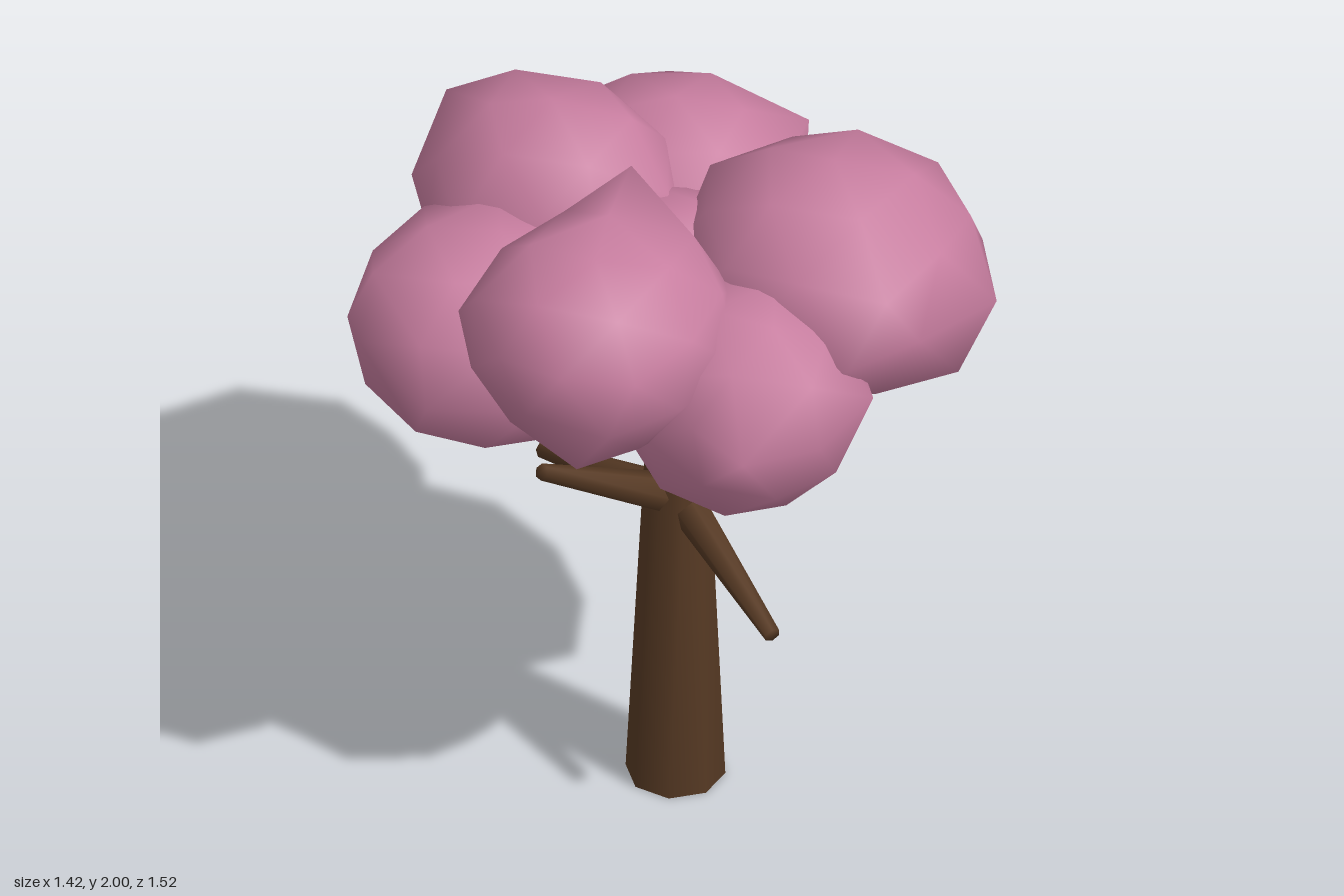
import * as THREE from 'three';
import { mergeVertices } from 'three/addons/utils/BufferGeometryUtils.js';

const blossom = new THREE.MeshStandardMaterial({ color: 0xc77d9f });
blossom.name = 'blossomPink';
const bark = new THREE.MeshStandardMaterial({ color: 0x573a24 });
bark.name = 'barkBrown';

// Welds a geometry so that its shading runs smoothly over every edge
function weld(geometry) {
  geometry.deleteAttribute('normal');
  geometry.deleteAttribute('uv');
  const g = mergeVertices(geometry, 1e-4);
  g.computeVertexNormals();
  return g;
}

// Low icosphere with a corner at its pole, turned, fitted to a box, then made
// irregular: each listed corner pulls the nearest vertex (null leaves a coordinate free)
function clump(name, min, max, turn, corners) {
  const g = weld(new THREE.IcosahedronGeometry(1, 1));
  g.rotateZ(Math.atan(2 / (1 + Math.sqrt(5))));
  g.applyMatrix4(new THREE.Matrix4().makeRotationFromEuler(new THREE.Euler(...turn)));
  g.center();
  const size = g.boundingBox.getSize(new THREE.Vector3()).toArray();
  g.scale(...size.map((s, i) => (max[i] - min[i]) / s));
  g.translate(...min.map((v, i) => (v + max[i]) / 2));

  const p = g.attributes.position;
  for (const corner of corners) {
    let best = 0, bestDistance = Infinity;
    for (let i = 0; i < p.count; i++) {
      const d = Math.hypot(...corner.map((c, k) => (c === null ? 0 : c - p.getComponent(i, k))));
      if (d < bestDistance) [best, bestDistance] = [i, d];
    }
    corner.forEach((c, k) => { if (c !== null) p.setComponent(best, k, c); });
  }
  g.computeVertexNormals();
  const mesh = new THREE.Mesh(g, blossom);
  mesh.name = name;
  return mesh;
}

// Tapered limb between two points
function limb(name, from, to, r0, r1, sides) {
  const a = new THREE.Vector3(...from), b = new THREE.Vector3(...to);
  const dir = b.clone().sub(a);
  const mesh = new THREE.Mesh(weld(new THREE.CylinderGeometry(r1, r0, dir.length(), sides)), bark);
  mesh.position.copy(a).add(b).multiplyScalar(0.5);
  mesh.quaternion.setFromUnitVectors(new THREE.Vector3(0, 1, 0), dir.normalize());
  mesh.name = name;
  return mesh;
}

export function createModel() {
  const tree = new THREE.Group();
  tree.name = 'blossomTree';

  // Trunk and its three bare branches
  tree.add(
    limb('trunk', [0.067, 0, 0.025], [0.069, 1.4, 0.03], 0.128, 0.064, 8),
    limb('rightBranch', [0.065, 0.88, 0.03], [-0.365, 1.145, 0.03], 0.055, 0.022, 6),
    limb('frontBranch', [0.075, 0.875, 0.03], [0.0, 0.752, 0.52], 0.052, 0.022, 6),
    limb('backBranch', [0.065, 0.875, 0.02], [0.01, 0.752, -0.46], 0.052, 0.022, 6),
  );

  // Foliage clumps
  const q = Math.PI / 2, _ = null;
  tree.add(
    clump('frontLeftClump', [-0.03, 1.33, -0.05], [0.71, 2.0, 0.72], [0, 0, 0], [
      [0.71, 1.66, 0.47], [0.71, 1.66, 0.21], [0.58, 1.66, 0.7], [0.32, 1.66, 0.72], [0.1, 1.66, 0.71],
      [0.56, 1.66, 0.0], [0.36, 1.66, -0.05], [0.1, 1.66, 0.0],
      [0.22, 1.82, 0.71], [0.45, 1.5, 0.71], [0.22, 1.82, -0.03], [0.45, 1.5, -0.03]]),
    clump('frontRightClump', [-0.66, 1.4, -0.11], [0.03, 1.98, 0.55], [0.2, 0, 0.2], [
      [-0.24, 1.98, 0.15], [-0.07, 1.98, 0.02], [-0.46, 1.96, _], [-0.62, 1.84, _], [-0.5, 1.41, _],
      [-0.57, _, -0.05], [-0.63, _, 0.31], [-0.52, _, 0.51], [-0.12, _, 0.53], [0.03, _, 0.2]]),
    clump('lowFrontClump', [-0.35, 1.19, 0.12], [0.27, 1.8, 0.76], [0.2, q, 0.25], [
      [-0.27, _, 0.75], [-0.03, 1.5, 0.76], [0.17, _, 0.72], [-0.31, 1.67, _], [0.07, 1.79, _],
      [0.27, 1.4, _], [0.13, 1.24, _], [-0.3, 1.31, _], [_, 1.69, 0.74], [_, 1.25, 0.63]]),
    clump('backClump', [-0.34, 1.29, -0.76], [0.3, 1.93, 0.0], [-q, 0, 0.2], [
      [-0.02, 1.66, -0.76], [-0.24, _, -0.68], [-0.34, 1.68, -0.36], [0.3, 1.7, -0.37], [0.26, 1.7, -0.55],
      [-0.12, _, -0.05], [0.1, _, -0.05], [_, 1.92, -0.2], [_, 1.91, -0.48], [_, 1.83, -0.68]]),
    clump('backLeftClump', [0.0, 1.25, -0.64], [0.65, 1.82, 0.01], [-q, 0, 0.4], [
      [0.32, 1.56, -0.64], [0.51, _, -0.57], [0.65, _, -0.4], [0.65, _, -0.18], [0.52, _, 0],
      [_, 1.7, -0.6], [_, 1.39, -0.58], [_, 1.28, -0.43], [_, 1.7, -0.06]]),
    clump('backRightClump', [-0.71, 1.16, -0.56], [0.03, 1.78, 0.14], [0.1, 0.3, 0], [
      [-0.71, 1.53, -0.28], [-0.55, _, -0.5], [-0.3, _, -0.6], [-0.69, _, -0.03],
      [-0.66, 1.72, _], [-0.53, 1.22, _], [-0.29, 1.16, -0.15], [-0.07, 1.2, _]]),
    clump('middleClump', [-0.22, 1.21, -0.28], [0.35, 1.78, 0.28], [0, 0.4, 0.2], []),
  );
  return tree;
}
